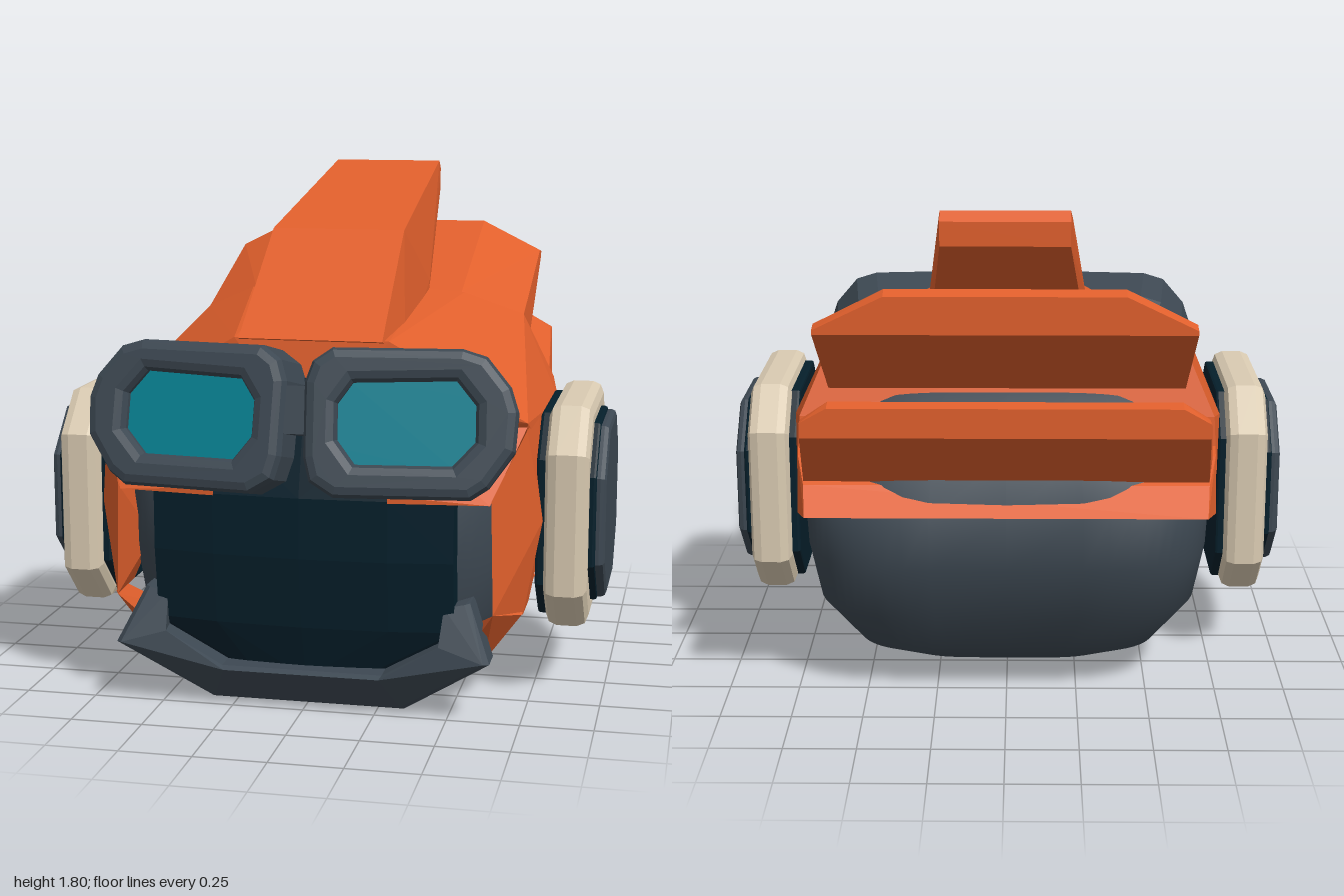
import * as THREE from 'three';
import { ConvexGeometry } from 'three/addons/geometries/ConvexGeometry.js';

const mat = (name, color) => {
  const m = new THREE.MeshStandardMaterial({ color });
  m.name = name;
  return m;
};

export function createModel() {
  const root = new THREE.Group();
  root.name = 'helmetHead';
  const orange = mat('orange', 0xe05f2c);
  const grey = mat('slate grey', 0x3d4852);
  const navy = mat('dark navy', 0x051f2b);
  const beige = mat('beige', 0xdacbb2);
  const teal = mat('teal', 0x058091);

  const add = (name, geo, material, parent = root) => {
    const m = new THREE.Mesh(geo, material);
    m.name = name;
    parent.add(m);
    return m;
  };
  const V = (x, y, z) => new THREE.Vector3(x, y, z);
  // faceted solid around points mirrored in x
  const wideHull = (pts) => new ConvexGeometry(pts.flatMap(([x, y, z]) => [V(x, y, z), V(-x, y, z)]));
  // faceted solid on one side
  const sideHull = (s, pts) => new ConvexGeometry(pts.map(([x, y, z]) => V(s * x, y, z)));
  const toShape = (pts) => new THREE.Shape(pts.map(([x, y]) => new THREE.Vector2(x, y)));
  // bevelled plate lying between z0 and z1
  const plate = (shape, z0, z1, bevel) => {
    const g = new THREE.ExtrudeGeometry(shape, {
      depth: z1 - z0 - 2 * bevel, bevelEnabled: bevel > 0, bevelSize: bevel,
      bevelThickness: bevel, bevelOffset: -bevel, bevelSegments: 2,
    });
    g.translate(0, 0, z0 + bevel);
    return g;
  };

  // skull: rounded rings stacked in y [y, half width, front z, back z]
  const rows = [
    [0.02, 0.01, 0.2, 0.18], [0.02, 0.4, 0.62, -0.27], [0.13, 0.565, 0.68, -0.48], [0.32, 0.69, 0.72, -0.63],
    [0.52, 0.725, 0.74, -0.69], [0.72, 0.735, 0.74, -0.7], [0.9, 0.7, 0.69, -0.57],
    [1.07, 0.6, 0.55, -0.41], [1.18, 0.4, 0.36, -0.2], [1.18, 0.01, 0.11, 0.09],
  ];
  const N = 64, pos = [], idx = [];
  rows.forEach(([y, w, f, b], r) => {
    for (let i = 0; i < N; i++) {
      const a = (i / N) * Math.PI * 2, c = Math.cos(a), s = Math.sin(a);
      const e = s > 0 ? 2 / 3.5 : 2 / 4.6;
      const mid = (f + b) / 2, d = (f - b) / 2;
      pos.push(Math.sign(c) * w * Math.abs(c) ** e, y, mid + Math.sign(s) * d * Math.abs(s) ** e);
      if (r < rows.length - 1) {
        const p = r * N + i, q = r * N + ((i + 1) % N);
        idx.push(p, p + N, q, q, p + N, q + N);
      }
    }
  });
  const skull = new THREE.BufferGeometry();
  skull.setAttribute('position', new THREE.Float32BufferAttribute(pos, 3));
  skull.setIndex(idx);
  skull.computeVertexNormals();
  add('skull', skull, grey);

  // visor: shallow curved face plate [y, front z, half width]
  const visorRows = [[0.1, 0.7, 0.3], [0.3, 0.765, 0.52], [0.55, 0.8, 0.52], [0.76, 0.8, 0.52],
    [1.0, 0.73, 0.52], [1.14, 0.63, 0.52]];
  add('visor', wideHull(visorRows.flatMap(([y, z, w]) =>
    [[0, y, z], [w * 0.58, y, z - 0.012], [w, y, z - 0.045], [w, y, z - 0.15]])), navy);

  // orange hair cap and its swept-back fins
  add('hairCap', wideHull([
    [0.27, 1.27, 0.6], [0.16, 1.13, 0.62], [0.27, 1.36, -0.15], [0.41, 1.345, -0.2],
    [0.62, 1.25, -0.33], [0.74, 1.0, 0.56], [0.72, 0.9, 0.5], [0.76, 0.86, 0.3],
    [0.77, 0.95, -0.2], [0.75, 0.75, -0.28], [0.64, 1.06, -0.33], [0.73, 1.0, -0.42], [0.74, 0.8, -0.45],
  ]), orange);
  add('centreCrest', wideHull([
    [0.25, 1.27, 0.62], [0.24, 1.605, 0.15], [0.21, 1.8, -0.83], [0.21, 1.77, -0.865],
    [0.21, 1.69, -0.865], [0.21, 1.68, -0.83], [0.28, 1.39, -0.18], [0.29, 1.2, 0.4], [0.29, 1.2, 0],
  ]), orange);
  add('middleFin', wideHull([
    [0.39, 1.555, -0.88], [0.39, 1.54, -0.93], [0.62, 1.43, -0.93], [0.62, 1.44, -0.88], [0.62, 1.415, -0.93],
    [0.4, 1.35, -0.2], [0.62, 1.25, -0.33], [0.63, 1.06, -0.33], [0.4, 1.2, 0.1],
  ]), orange);
  add('lowerFin', wideHull([
    [0.58, 1.18, -0.88], [0.58, 1.17, -0.93], [0.67, 1.12, -0.93], [0.67, 1.12, -0.88], [0.67, 1.07, -0.93],
    [0.6, 1.02, -0.44], [0.71, 1.0, -0.44], [0.7, 0.82, -0.61], [0.73, 0.82, -0.4],
  ]), orange);
  add('rearTrim', wideHull([
    [0.69, 0.72, -0.71], [0.7, 0.81, -0.62], [0.73, 0.69, -0.56], [0.76, 0.75, -0.2],
    [0.75, 0.95, -0.25], [0.73, 0.88, -0.5],
  ]), orange);

  // chin guard: U shaped bar of straight segments, [outer x, y, inner x, y] at each joint
  const joints = [[-0.34, 0, -0.28, 0.15], [0.34, 0, 0.28, 0.15], [0.65, 0.22, 0.49, 0.27], [0.57, 0.4, 0.5, 0.385]];
  const chinZ = (y) => (y < 0.2 ? 0.685 + 0.7 * y : 0.825 - 0.55 * (y - 0.2));
  const chinSegment = (s, i) => sideHull(s, [joints[i], joints[i + 1]].flatMap(([ox, oy, ix, iy]) =>
    [[ox, oy], [ix, iy]].flatMap(([x, y]) => [[x, y, chinZ(y) - 0.02], [x, y, chinZ(y) - 0.12],
      [x * 0.97, THREE.MathUtils.lerp(y, (oy + iy) / 2, 0.15), chinZ(y)]])));
  add('chinBar', chinSegment(1, 0), grey);

  const octagon = (w, h, c) => toShape([
    [w, h - c], [w - c, h], [c - w, h], [-w, h - c], [-w, c - h], [c - w, -h], [w - c, -h], [w, c - h],
  ]);
  const outline = [[0.355, 0.04], [0.33, 0.12], [0.25, 0.22], [0.17, 0.245], [-0.26, 0.245], [-0.325, 0.2],
    [-0.35, 0.13], [-0.35, -0.12], [-0.33, -0.2], [-0.25, -0.25], [0.2, -0.25], [0.26, -0.21], [0.345, -0.09]];
  const lensOutline = [[0.215, 0.06], [0.15, 0.14], [-0.19, 0.13], [-0.24, 0.06],
    [-0.24, -0.06], [-0.18, -0.14], [0.14, -0.14], [0.215, -0.06]];

  for (const s of [1, -1]) {
    const side = s > 0 ? 'left' : 'right';
    add(side + 'ChinCorner', chinSegment(s, 1), grey);
    add(side + 'ChinTip', chinSegment(s, 2), grey);

    // cheeks and straps
    add(side + 'Brow', sideHull(s, [
      [0.3, 0.755, 0.79], [0.64, 0.755, 0.755], [0.3, 0.78, 0.79], [0.3, 1.0, 0.65],
      [0.74, 0.99, 0.58], [0.66, 0.8, 0.6], [0.4, 0.765, 0.6],
    ]), orange);
    add(side + 'Cheek', sideHull(s, [
      [0.645, 0.77, 0.76], [0.655, 0.38, 0.76], [0.79, 0.65, 0.5], [0.74, 0.98, 0.58], [0.75, 0.98, 0.3],
      [0.785, 0.62, 0.3], [0.73, 0.32, 0.35], [0.73, 0.32, 0.52], [0.64, 0.5, 0.4],
    ]), orange);
    add(side + 'LowerCheek', sideHull(s, [
      [0.655, 0.38, 0.76], [0.73, 0.33, 0.45], [0.73, 0.33, 0.56], [0.6, 0.145, 0.36], [0.6, 0.15, 0.54],
      [0.455, 0.04, 0.28], [0.455, 0.04, 0.45], [0.55, 0.25, 0.45],
    ]), orange);
    add(side + 'Strap', sideHull(s, [0.035, 0.25].flatMap((z) =>
      [[0.44, 0.035, z], [0.6, 0.145, z], [0.72, 0.33, z], [0.65, 0.35, z], [0.45, 0.1, z]])), orange);

    // ear pods, built facing +z and turned outward
    const ear = new THREE.Group();
    ear.name = side + 'Ear';
    ear.position.set(0, 0.643, 0.135);
    ear.rotation.y = s * Math.PI / 2;
    root.add(ear);
    const ring = octagon(0.405, 0.393, 0.145);
    ring.holes.push(octagon(0.295, 0.285, 0.135));
    add('earRing', plate(ring, 0.795, 0.945, 0.04), beige, ear);
    add('earCollar', plate(octagon(0.365, 0.36, 0.14), 0.765, 0.82, 0.01), navy, ear);
    add('earRim', plate(octagon(0.33, 0.318, 0.16), 0.8, 0.968, 0.01), navy, ear);
    add('earPad', plate(octagon(0.32, 0.308, 0.155), 0.9, 1.0, 0.02), grey, ear);

    // goggles
    const goggle = new THREE.Group();
    goggle.name = side + 'Goggle';
    goggle.position.set(s * 0.385, 1.045, 0.85);
    goggle.rotation.set(-0.24, s * 0.11, 0, 'YXZ');
    root.add(goggle);
    // mirrored outlines are reversed to keep their winding
    const handed = (pts, k) => {
      const p = pts.map(([x, y]) => [s * x * k, y * k]);
      return toShape(s > 0 ? p : p.reverse());
    };
    const frame = handed(outline, 1);
    frame.holes.push(handed(lensOutline, 1));
    add('goggleFrame', plate(frame, -0.28, 0, 0.035), grey, goggle);
    add('goggleLens', plate(handed(lensOutline, 1.22), -0.06, -0.052, 0), teal, goggle);
  }

  // bridge between the goggles
  const bridge = add('goggleBridge', new THREE.BoxGeometry(0.12, 0.16, 0.18), grey);
  bridge.position.set(0, 1.05, 0.76);
  bridge.rotation.x = -0.24;

  return root;
}
